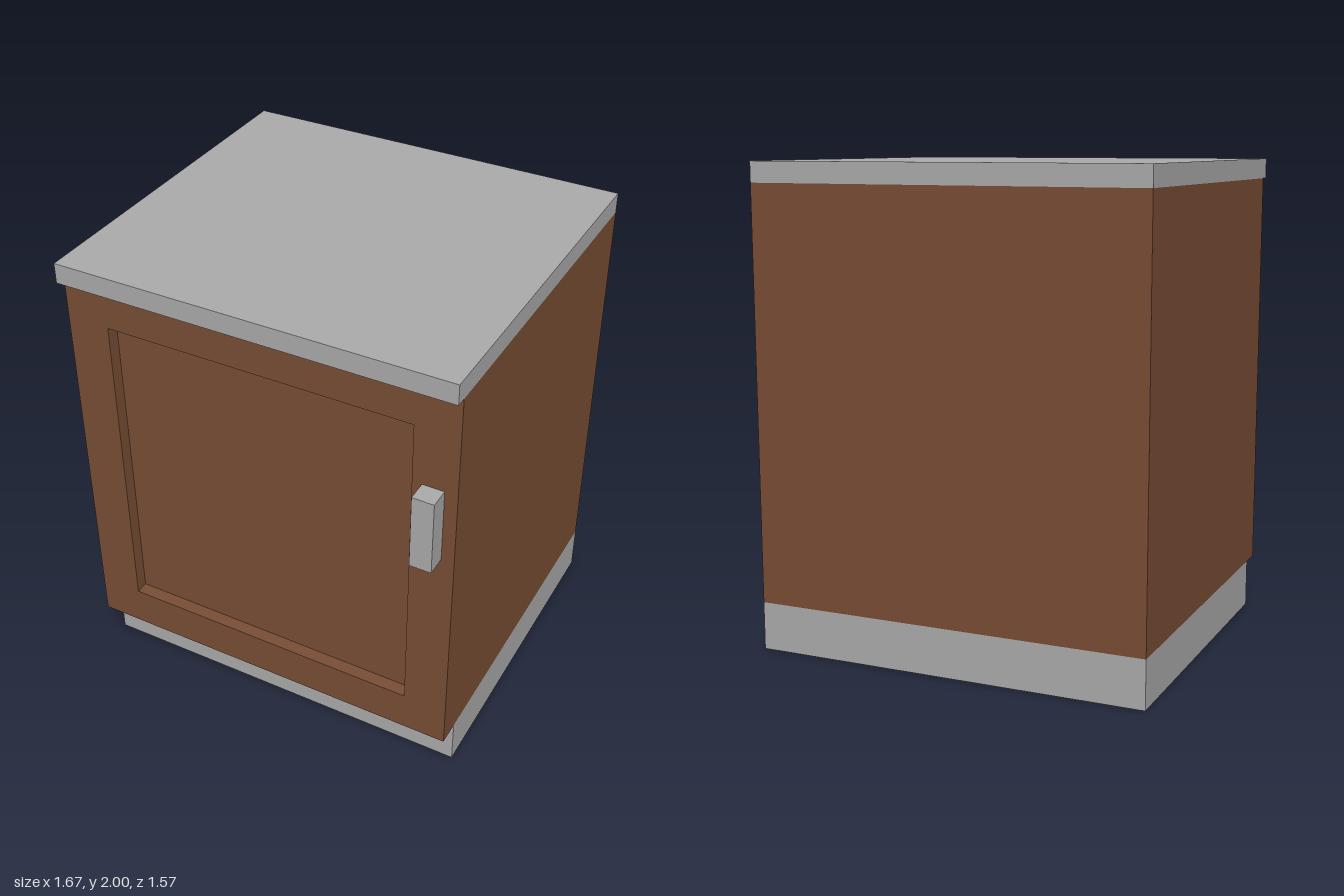
import * as THREE from 'three';

export function createModel() {
  const group = new THREE.Group();
  const wood = new THREE.MeshStandardMaterial({ color: 0x7a4e35, side: THREE.DoubleSide });
  wood.name = 'brown wood';
  const grey = new THREE.MeshStandardMaterial({ color: 0xacacac, side: THREE.DoubleSide });
  grey.name = 'grey';

  const X = 0.833, BACK = -0.785, FRONT = 0.7, KICK = 0.6, BASE = 0.2, TOP = 1.915;
  const HALF_PI = Math.PI / 2;

  function add(name, geometry, material, x, y, z) {
    const mesh = new THREE.Mesh(geometry, material);
    mesh.name = name;
    mesh.position.set(x, y, z);
    group.add(mesh);
    return mesh;
  }
  const box = (name, material, x0, x1, y0, y1, z0, z1) =>
    add(name, new THREE.BoxGeometry(x1 - x0, y1 - y0, z1 - z0), material,
      (x0 + x1) / 2, (y0 + y1) / 2, (z0 + z1) / 2);
  // Thin sheets: facing along z, x or y
  const sheetZ = (name, material, x0, x1, y0, y1, z, turn = 0) => {
    add(name, new THREE.PlaneGeometry(x1 - x0, y1 - y0), material,
      (x0 + x1) / 2, (y0 + y1) / 2, z).rotation.y = turn;
  };
  const sheetX = (name, material, x, y0, y1, z0, z1, sign) => {
    add(name, new THREE.PlaneGeometry(z1 - z0, y1 - y0), material,
      x, (y0 + y1) / 2, (z0 + z1) / 2).rotation.y = sign * HALF_PI;
  };
  const sheetY = (name, material, x0, x1, y, z0, z1, sign) => {
    add(name, new THREE.PlaneGeometry(x1 - x0, z1 - z0), material,
      (x0 + x1) / 2, y, (z0 + z1) / 2).rotation.x = -sign * HALF_PI;
  };

  // Cabinet and plinth walls, hollow and open underneath
  for (const s of [-1, 1]) {
    const side = s > 0 ? 'left' : 'right';
    sheetX(side + 'Wall', wood, s * X, BASE, TOP, BACK, FRONT, s);
    sheetX(side + 'Plinth', grey, s * X, 0, BASE, BACK, KICK, s);
  }
  sheetZ('backWall', wood, -X, X, BASE, TOP, BACK, Math.PI);
  sheetZ('backPlinth', grey, -X, X, 0, BASE, BACK, Math.PI);
  sheetZ('frontPlinth', grey, -X, X, 0, BASE, KICK);
  sheetY('toeKickLedge', wood, -X, X, BASE, KICK, FRONT, -1);

  // Front frame with a sunken door panel
  const px = 0.65, py0 = 0.375, py1 = 1.742, pz = FRONT - 0.055;
  const frame = new THREE.Shape([
    new THREE.Vector2(-X, BASE), new THREE.Vector2(X, BASE),
    new THREE.Vector2(X, TOP), new THREE.Vector2(-X, TOP),
  ]);
  frame.holes.push(new THREE.Path([
    new THREE.Vector2(-px, py0), new THREE.Vector2(-px, py1),
    new THREE.Vector2(px, py1), new THREE.Vector2(px, py0),
  ]));
  add('doorFrame', new THREE.ShapeGeometry(frame), wood, 0, 0, FRONT);
  sheetZ('doorPanel', wood, -px, px, py0, py1, pz);
  for (const s of [-1, 1]) sheetX('doorRecessSide', wood, s * px, py0, py1, pz, FRONT, -s);
  sheetY('doorRecessBottom', wood, -px, px, py0, pz, FRONT, 1);
  sheetY('doorRecessTop', wood, -px, px, py1, pz, FRONT, -1);

  // Worktop and handle
  box('worktop', grey, -X, X, TOP, 2, BACK, 0.745);
  box('handle', grey, 0.69, 0.78, 1.17, 1.492, FRONT, 0.785);

  return group;
}
